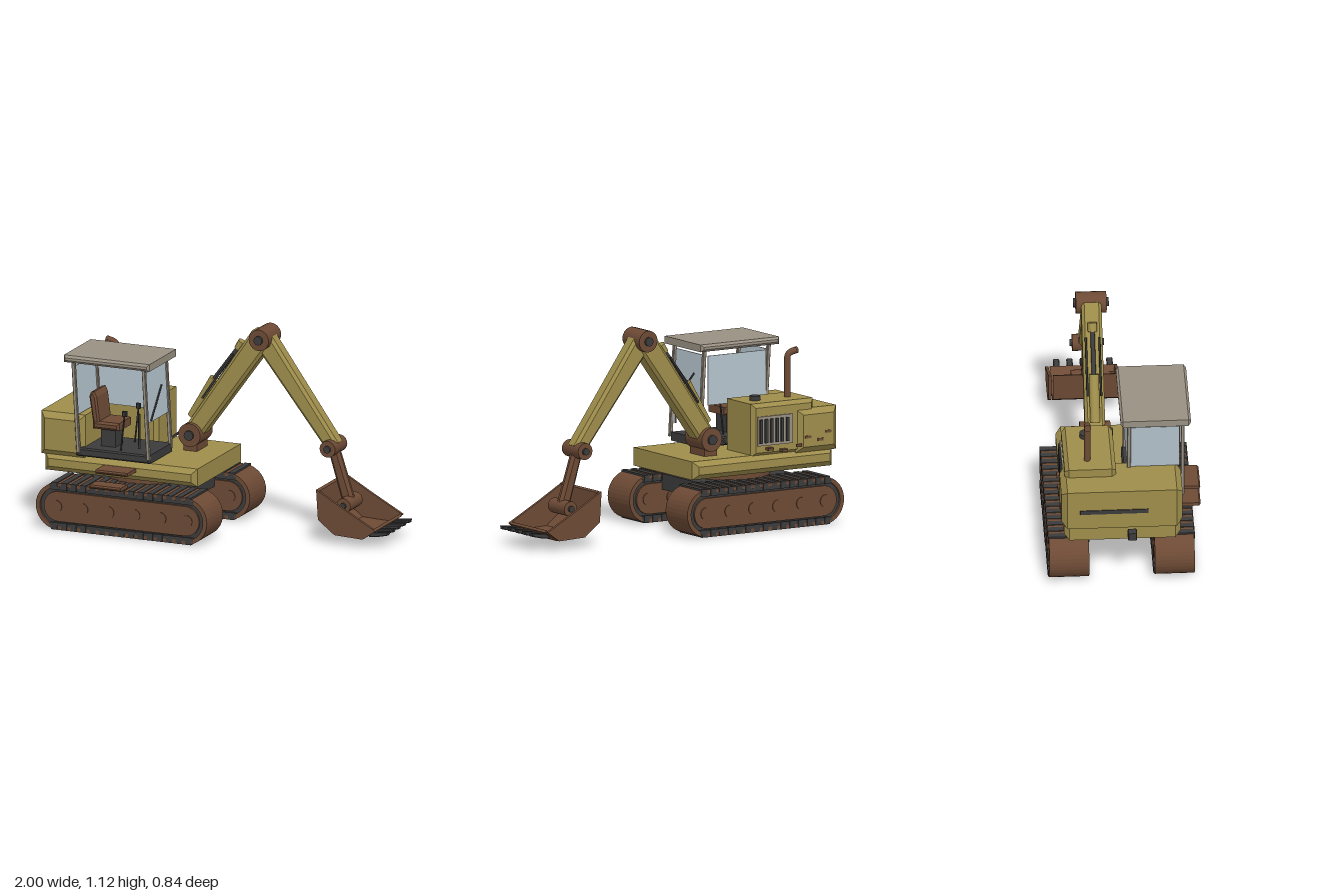
import * as THREE from 'three';

const paint = (name, color) => Object.assign(new THREE.MeshStandardMaterial({ color }), { name });

export function createModel() {
  const yellow = paint('ochre paint', 0x9e8d4b);
  const brown = paint('brown steel', 0x6d4a35);
  const dark = paint('dark rubber', 0x3b3b3c);
  const grey = paint('warm grey trim', 0x999082);
  const glass = paint('pale glass', 0xb5c4cc);
  glass.side = THREE.DoubleSide;
  const model = new THREE.Group();
  model.name = 'excavator';

  const add = (name, geo, mat, x = 0, y = 0, z = 0, parent = model) => {
    const m = new THREE.Mesh(geo, mat);
    m.name = name;
    m.position.set(x, y, z);
    parent.add(m);
    return m;
  };
  // Side outline extruded from z0 to z1, with chamfered edges of size c
  const slab = (name, pts, z0, z1, c, mat, parent = model) => {
    const shape = new THREE.Shape(pts.map((p) => new THREE.Vector2(p[0], p[1])));
    const geo = new THREE.ExtrudeGeometry(shape, {
      depth: z1 - z0 - 2 * c, bevelEnabled: c > 0, bevelSize: c, bevelThickness: c, bevelOffset: -c, bevelSegments: 1,
    });
    return add(name, geo, mat, 0, 0, z0 + c, parent);
  };
  // Chamfered block given by its limits
  const block = (name, x0, x1, y0, y1, z0, z1, c, mat, parent) =>
    slab(name, [[x0, y0], [x1, y0], [x1, y1], [x0, y1]], z0, z1, c, mat, parent);
  // Round bar between two points
  const rod = (name, a, b, r, mat, parent = model, sides = 12) => {
    const p = new THREE.Vector3(...a), q = new THREE.Vector3(...b);
    const d = q.clone().sub(p), mid = p.clone().add(q).multiplyScalar(0.5);
    const m = add(name, new THREE.CylinderGeometry(r, r, d.length(), sides), mat, mid.x, mid.y, mid.z, parent);
    m.quaternion.setFromUnitVectors(new THREE.Vector3(0, 1, 0), d.normalize());
    return m;
  };

  // ---- Tracks ----
  const X0 = -0.8, X1 = -0.05, CY = 0.13;
  const trace = (path, r) => {
    path.moveTo(X0, CY - r);
    path.lineTo(X1, CY - r);
    path.absarc(X1, CY, r, -Math.PI / 2, Math.PI / 2, false);
    path.lineTo(X0, CY + r);
    path.absarc(X0, CY, r, Math.PI / 2, Math.PI * 1.5, false);
    return path;
  };
  const pill = (r, hole, width) => {
    const s = trace(new THREE.Shape(), r);
    if (hole) s.holes.push(trace(new THREE.Path(), hole));
    return new THREE.ExtrudeGeometry(s, { depth: width, bevelEnabled: false, curveSegments: 9 })
      .translate(0, 0, -width / 2);
  };
  for (const [side, z] of [['left', 0.263], ['right', -0.307]]) {
    const track = new THREE.Group();
    track.name = side + 'Track';
    track.position.z = z;
    model.add(track);
    add('belt', pill(0.13, 0.106, 0.215), brown, 0, 0, 0, track);
    add('trackCore', pill(0.107, 0, 0.19), dark, 0, 0, 0, track);
    add('trackFrame', pill(0.083, 0, 0.212), brown, 0, 0, 0, track);
    for (let i = 0; i < 6; i++) {
      const x = -0.81 + i * 0.154;
      rod('roller', [x, CY, -0.111], [x, CY, 0.111], 0.034, brown, track, 16);
    }
    for (let i = 0; i < 15; i++) {
      const x = -0.82 + i * 0.0565;
      for (const y of [0.244, 0.021]) {
        add('trackPad', new THREE.BoxGeometry(0.034, 0.04, 0.224), dark, x, y, 0, track);
        add('padLink', new THREE.BoxGeometry(0.0565, 0.018, 0.218), dark, x, y > 0.1 ? 0.233 : 0.03, 0, track);
      }
    }
  }

  // ---- Undercarriage and deck ----
  block('axleBox', -0.73, -0.13, 0.175, 0.262, -0.21, 0.165, 0, dark);
  rod('turntable', [-0.43, 0.255, -0.02], [-0.43, 0.305, -0.02], 0.235, brown, model, 28);
  block('deck', -0.92, -0.02, 0.3, 0.4, -0.335, 0.295, 0.028, yellow);
  block('upperStep', -0.56, -0.37, 0.352, 0.372, 0.29, 0.42, 0.008, brown);
  block('lowerStep', -0.595, -0.41, 0.265, 0.285, 0.315, 0.42, 0.008, brown);

  // ---- Engine hood and counterweight ----
  block('counterweight', -0.94, -0.68, 0.39, 0.63, -0.35, 0.305, 0.032, yellow);
  block('engineHood', -0.8, -0.4, 0.39, 0.68, -0.325, -0.048, 0.022, yellow);
  block('rearSlot', -0.944, -0.938, 0.485, 0.51, -0.25, 0.12, 0, dark);
  block('rearHitch', -1, -0.955, 0.345, 0.39, 0.005, 0.055, 0.004, dark);
  block('grillePanel', -0.655, -0.43, 0.45, 0.61, -0.333, -0.324, 0, grey);
  for (let i = 0; i < 6; i++) {
    const x = -0.625 + i * 0.034;
    block('grilleBar', x, x + 0.017, 0.465, 0.595, -0.343, -0.333, 0, dark);
  }
  for (const [x, y] of [[-0.5, 0.425], [-0.59, 0.41], [-0.68, 0.43], [-0.74, 0.47], [-0.82, 0.45], [-0.87, 0.49]])
    block('rustMark', x - 0.018, x + 0.018, y, y + 0.014, -0.355, x > -0.68 ? -0.32 : -0.349, 0, brown);
  rod('fuelCap', [-0.495, 0.675, -0.2], [-0.495, 0.705, -0.2], 0.03, dark, model, 16);
  const pipe = new THREE.CurvePath();
  const v = (x, y) => new THREE.Vector3(x, y, -0.2);
  pipe.add(new THREE.LineCurve3(v(-0.705, 0.67), v(-0.705, 0.895)));
  pipe.add(new THREE.QuadraticBezierCurve3(v(-0.705, 0.895), v(-0.705, 0.925), v(-0.765, 0.93)));
  const exhaust = add('exhaustPipe', new THREE.TubeGeometry(pipe, 24, 0.018, 10), brown);
  rod('exhaustTip', [-0.755, 0.929, -0.2], [-0.766, 0.931, -0.2], 0.019, brown, exhaust);

  // ---- Cab ----
  const cab = new THREE.Group();
  cab.name = 'cab';
  model.add(cab);
  block('cabFloor', -0.72, -0.285, 0.408, 0.455, 0.005, 0.312, 0.008, dark, cab);
  block('cabRoof', -0.775, -0.27, 0.935, 0.975, -0.022, 0.358, 0.013, grey, cab);
  for (const z of [0.025, 0.315]) {
    slab('rearPost', [[-0.712, 0.43], [-0.692, 0.43], [-0.722, 0.94], [-0.742, 0.94]], z - 0.01, z + 0.01, 0.003, grey, cab);
    slab('frontPost', [[-0.298, 0.43], [-0.278, 0.43], [-0.307, 0.94], [-0.327, 0.94]], z - 0.01, z + 0.01, 0.003, grey, cab);
  }
  block('sideWindow', -0.71, -0.335, 0.635, 0.905, 0.016, 0.022, 0, glass, cab);
  slab('windscreen', [[-0.305, 0.63], [-0.299, 0.63], [-0.315, 0.91], [-0.321, 0.91]], 0.035, 0.298, 0, glass, cab);
  slab('rearWindow', [[-0.72, 0.635], [-0.714, 0.635], [-0.73, 0.905], [-0.736, 0.905]], 0.035, 0.298, 0, glass, cab);
  rod('wiper', [-0.295, 0.64, 0.265], [-0.304, 0.8, 0.108], 0.005, dark, cab, 6);
  rod('doorHandle', [-0.335, 0.495, 0.335], [-0.335, 0.69, 0.335], 0.006, dark, cab, 8);
  block('seatPedestal', -0.61, -0.525, 0.45, 0.56, 0.122, 0.226, 0, dark, cab);
  block('seatCushion', -0.645, -0.49, 0.555, 0.598, 0.085, 0.262, 0.012, brown, cab);
  slab('seatBack', [[-0.645, 0.585], [-0.607, 0.585], [-0.625, 0.73], [-0.64, 0.76], [-0.66, 0.755], [-0.668, 0.73]],
    0.09, 0.257, 0.01, brown, cab);
  for (const z of [0.08, 0.265]) {
    rod('controlLever', [-0.475, 0.45, z], [-0.453, 0.65, z], 0.005, dark, cab, 8);
    block('leverKnob', -0.465, -0.44, 0.645, 0.675, z - 0.011, z + 0.011, 0.004, dark, cab);
  }

  // ---- Boom, stick and joints ----
  const Z = -0.13;
  const joint = (name, x, y, r, half) => {
    rod(name, [x, y, Z - half], [x, y, Z + half], r, brown, model, 20);
    rod(name + 'Pin', [x, y, Z - half - 0.013], [x, y, Z + half + 0.013], r * 0.42, dark, model, 12);
  };
  // Tapered arm outline: h = [above, below] at each end, measured across the arm
  const arm = (name, a, b, ha, hb, halfZ, mat) => {
    const dx = b[0] - a[0], dy = b[1] - a[1], l = Math.hypot(dx, dy), nx = -dy / l, ny = dx / l;
    const at = (p, h) => [p[0] + nx * h, p[1] + ny * h];
    slab(name, [at(a, -ha[1]), at(b, -hb[1]), at(b, hb[0]), at(a, ha[0])], Z - halfZ, Z + halfZ, 0.016, mat);
  };
  const A = [-0.21, 0.49], B = [0.2, 1.065], C = [0.605, 0.5], D = [0.7, 0.195];
  block('boomFoot', -0.25, -0.17, 0.39, 0.47, Z - 0.07, Z + 0.07, 0, brown);
  arm('boom', A, B, [0.055, 0.05], [0.07, 0.055], 0.055, yellow);
  arm('stick', B, C, [0.055, 0.061], [0.05, 0.032], 0.045, yellow);
  arm('bucketLink', C, D, [0.032, 0.032], [0.036, 0.036], 0.024, brown);
  joint('boomPivot', ...A, 0.065, 0.083);
  joint('elbowPivot', ...B, 0.059, 0.083);
  joint('stickPivot', ...C, 0.046, 0.08);
  joint('bucketPivot', ...D, 0.041, 0.081);

  // Hydraulic ram lying on top of the boom: t runs along it, h is height above its axis
  const onBoom = (t, h, dz = 0) => [A[0] + 0.58 * t - 0.81 * h, A[1] + 0.81 * t + 0.58 * h, Z + dz];
  rod('ramBarrel', onBoom(0.06, 0.065), onBoom(0.32, 0.09), 0.027, yellow, model, 14);
  rod('ramRod', onBoom(0.31, 0.09), onBoom(0.57, 0.085), 0.012, dark);
  rod('ramBracket', onBoom(0.55, 0.08), onBoom(0.6, 0.085), 0.025, yellow, model, 8);
  for (const dz of [-0.037, 0.037]) {
    rod('hose', onBoom(0.2, 0.072, dz), onBoom(0.52, 0.08, dz), 0.006, dark, model, 6);
    rod('lowerHose', [-0.34, 0.45, Z + dz], [-0.21, 0.55, Z + dz], 0.006, dark, model, 6);
  }

  // ---- Bucket ----
  slab('bucketShell', [[0.583, 0.297], [0.594, 0.13], [0.69, 0.055], [0.856, 0.048], [0.93, 0.1],
    [0.92, 0.112], [0.852, 0.064], [0.695, 0.07], [0.609, 0.138], [0.598, 0.29]], -0.312, 0.05, 0, brown);
  const cheek = [[0.583, 0.297], [0.594, 0.13], [0.69, 0.056], [0.856, 0.05], [0.93, 0.104], [0.735, 0.21]];
  slab('leftBucketCheek', cheek, 0.034, 0.051, 0, brown);
  slab('rightBucketCheek', cheek, -0.337, -0.32, 0, brown);
  for (let i = 0; i < 5; i++) {
    const z = 0.014 - i * 0.072;
    slab('bucketTooth', [[0.885, 0.06], [0.935, 0.066], [0.995, 0.08], [1, 0.1], [0.93, 0.092], [0.885, 0.088]],
      z - 0.017, z + 0.017, 0.004, dark);
  }
  return model;
}
